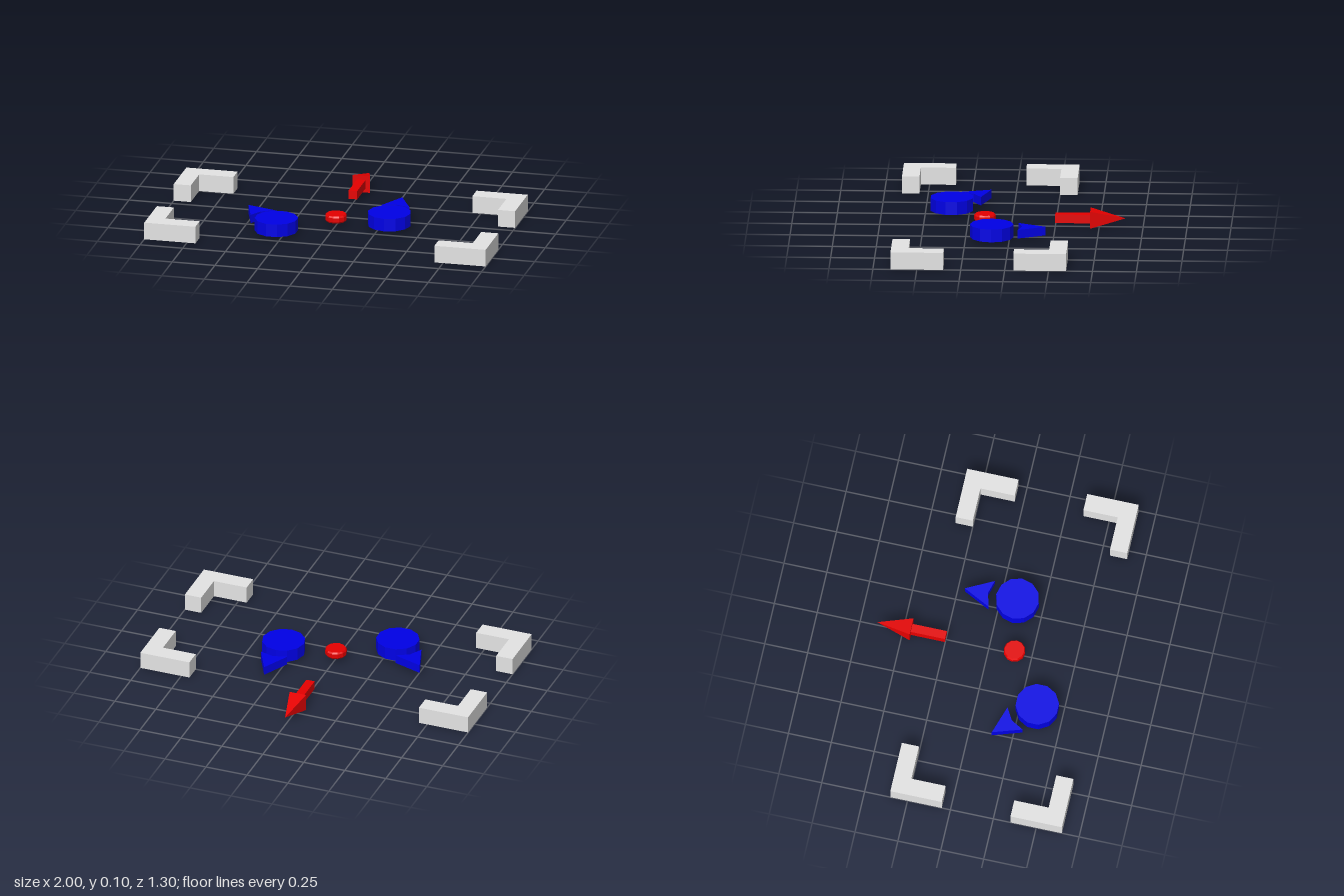
import * as THREE from 'three';

const material = (name, color) => {
  const m = new THREE.MeshStandardMaterial({ color });
  m.name = name;
  return m;
};

export function createModel() {
  const grey = material('lightGrey', 0xe4e4e4);
  const red = material('red', 0xe60000);
  const blue = material('blue', 0x0000e6);

  const model = new THREE.Group();
  model.name = 'markerSet';

  const add = (parent, name, geometry, mat, x = 0, y = 0, z = 0) => {
    const mesh = new THREE.Mesh(geometry, mat);
    mesh.name = name;
    mesh.position.set(x, y, z);
    parent.add(mesh);
  };

  // Flat outline in (x, -z), raised upwards to the given height
  const slab = (points, height) =>
    new THREE.ExtrudeGeometry(
      new THREE.Shape(points.map(([x, y]) => new THREE.Vector2(x, y))),
      { depth: height, bevelEnabled: false }
    ).rotateX(-Math.PI / 2);

  // Separate faces with hard edges
  const faceted = (geometry) => {
    const g = geometry.toNonIndexed();
    g.computeVertexNormals();
    return g;
  };

  // Four L-shaped corner brackets around the field centre
  const fieldZ = 0.15;
  const bracket = [[1, 0.5], [0.7, 0.5], [0.7, 0.4], [0.9, 0.4], [0.9, 0.2], [1, 0.2]];
  for (const sx of [-1, 1]) {
    for (const sz of [-1, 1]) {
      const name = (sz > 0 ? 'front' : 'back') + (sx > 0 ? 'Left' : 'Right') + 'Bracket';
      const outline = bracket.map(([x, z]) => [sx * x, -sz * z]);
      add(model, name, slab(outline, 0.1), grey, 0, 0, fieldZ);
    }
  }

  // Players: a disc with a notched pointer ahead of it
  const pointer = [[0, 0.307], [-0.08, 0.15], [0, 0.172], [0.08, 0.15]];
  const addPlayer = (name, x, z, turn) => {
    const player = new THREE.Group();
    player.name = name;
    player.position.set(x, 0.05, z);
    player.rotation.y = turn;
    add(player, 'body', faceted(new THREE.CylinderGeometry(0.124, 0.124, 0.075, 12)), blue);
    add(player, 'pointer', slab(pointer, 0.05), blue, 0, -0.025);
    model.add(player);
  };
  addPlayer('leftPlayer', 0.3, 0.1, 0);
  addPlayer('rightPlayer', -0.3, 0.35, Math.PI / 4);

  // Small centre disc with softened rims
  const rim = [[0, -0.021], [0.056, -0.021], [0.062, -0.012], [0.062, 0.012], [0.056, 0.021], [0, 0.021]];
  const puck = new THREE.LatheGeometry(rim.map(([r, y]) => new THREE.Vector2(r, y)), 12);
  add(model, 'centreDisc', faceted(puck), red, 0, 0.05, fieldZ);

  // Arrow pointing to the back: square shaft and pyramid head
  const arrow = new THREE.Group();
  arrow.name = 'directionArrow';
  add(arrow, 'shaft', new THREE.BoxGeometry(0.05, 0.05, 0.2), red, 0, 0.05, -0.35);
  const head = new THREE.ConeGeometry(0.05 * Math.SQRT2, 0.2, 4)
    .rotateY(Math.PI / 4)
    .rotateX(-Math.PI / 2);
  add(arrow, 'head', faceted(head), red, 0, 0.05, -0.55);
  model.add(arrow);

  return model;
}
